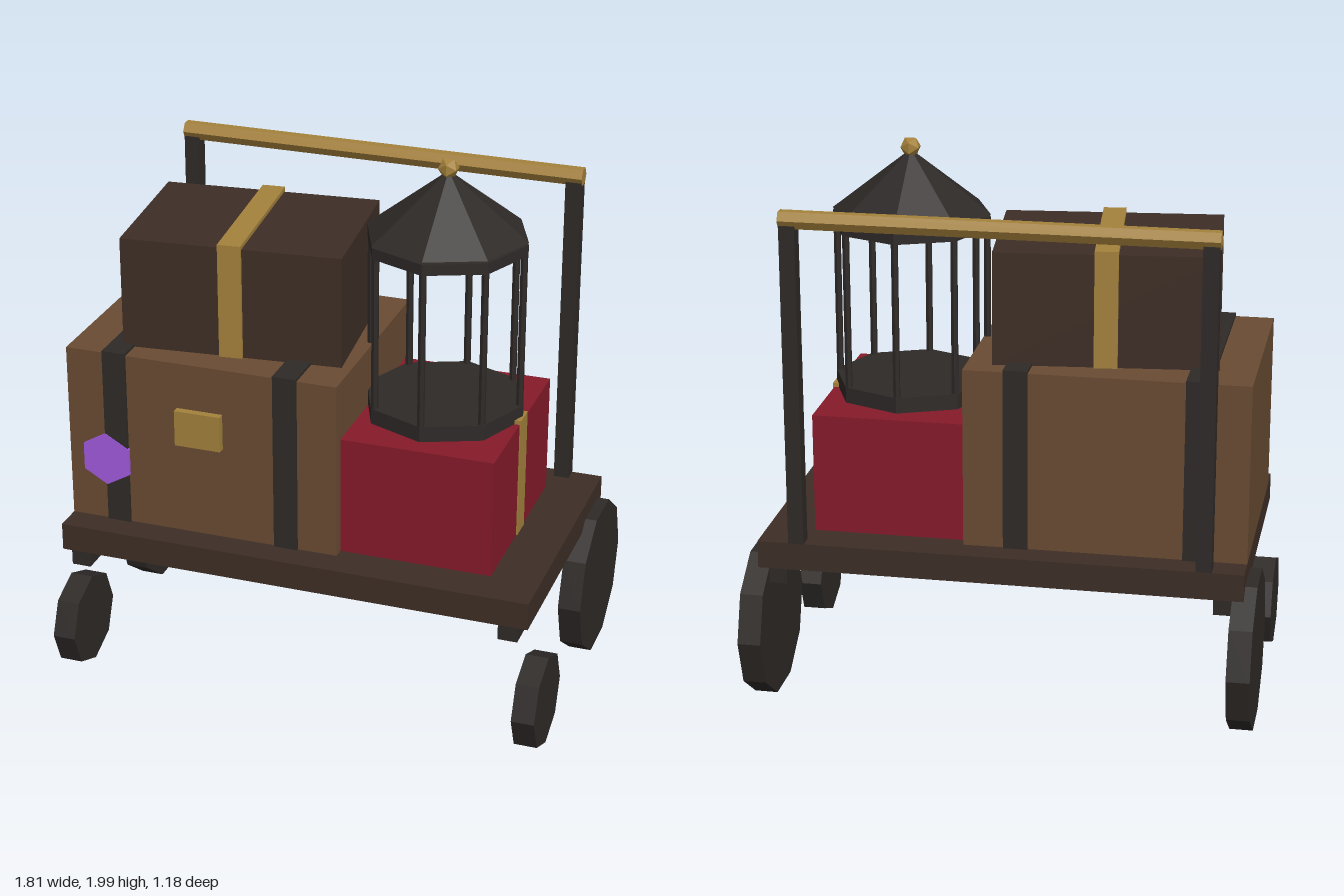
import * as THREE from 'three';

const mat = (color) => new THREE.MeshStandardMaterial({ color, flatShading: true });
const wood = mat(0x3d2e26), leather = mat(0x694b33), iron = mat(0x2e2a28);
const brass = mat(0xa5823c), red = mat(0x861a2a), purple = mat(0xa35adf);

function add(parent, name, geometry, material, x = 0, y = 0, z = 0) {
  const mesh = new THREE.Mesh(geometry, material);
  mesh.name = name;
  mesh.position.set(x, y, z);
  parent.add(mesh);
  return mesh;
}

// Box given by its minimum and maximum on each axis
function box(parent, name, material, [x0, x1], [y0, y1], [z0, z1]) {
  return add(parent, name, new THREE.BoxGeometry(x1 - x0, y1 - y0, z1 - z0), material,
    (x0 + x1) / 2, (y0 + y1) / 2, (z0 + z1) / 2);
}

// Faceted cylinder lying along x
const barX = (radius, length, sides) =>
  new THREE.CylinderGeometry(radius, radius, length, sides).rotateZ(Math.PI / 2);

function createCart() {
  const cart = new THREE.Group();
  cart.name = 'cart';
  box(cart, 'platform', wood, [-0.865, 0.865], [0.53, 0.63], [-0.445, 0.56]);
  for (const s of [-1, 1]) {
    add(cart, 'underRail', new THREE.BoxGeometry(0.07, 0.055, 1.005), iron, s * 0.795, 0.5025, 0.0575);
    add(cart, 'backWheel', barX(0.288, 0.083, 10), iron, s * 0.866, 0.293, -0.305);
    add(cart, 'frontWheel', barX(0.172, 0.083, 8), iron, s * 0.866, 0.175, 0.418);
    add(cart, 'handlePost', new THREE.BoxGeometry(0.056, 1.16, 0.056), iron, s * 0.724, 1.21, -0.418);
  }
  add(cart, 'handleBar', barX(0.034, 1.51, 6), brass, 0, 1.808, -0.418);
  return cart;
}

function createTrunk() {
  const trunk = new THREE.Group();
  trunk.name = 'trunk';
  box(trunk, 'trunkBody', leather, [-0.865, 0.14], [0.63, 1.28], [-0.345, 0.455]);
  for (const x of [-0.682, -0.047])
    box(trunk, 'trunkStrap', iron, [x - 0.043, x + 0.043], [0.631, 1.29], [-0.355, 0.465]);
  box(trunk, 'trunkClasp', brass, [-0.45, -0.28], [0.977, 1.11], [0.44, 0.482]);
  // Six-sided sticker on the front
  add(trunk, 'sticker', new THREE.CylinderGeometry(0.1, 0.1, 0.012, 6).rotateX(Math.PI / 2), purple,
    -0.722, 0.87, 0.461);
  return trunk;
}

// Upper case, set down slightly askew
function createUpperCase() {
  const upper = new THREE.Group();
  upper.name = 'upperCase';
  upper.position.set(-0.316, 1.28, 0.053);
  upper.rotation.y = 0.098;
  add(upper, 'upperCaseBody', new THREE.BoxGeometry(0.788, 0.404, 0.57), wood, 0, 0.202, 0);
  add(upper, 'upperCaseStrap', new THREE.BoxGeometry(0.083, 0.418, 0.594), brass, 0, 0.21, 0);
  return upper;
}

function createRedCase() {
  const group = new THREE.Group();
  group.name = 'redCase';
  box(group, 'redCaseBody', red, [0.14, 0.69], [0.63, 1.065], [-0.303, 0.415]);
  box(group, 'redCaseStrap', brass, [0.135, 0.695], [0.631, 1.08], [0.015, 0.1]);
  return group;
}

function createCage() {
  const cage = new THREE.Group();
  cage.name = 'birdCage';
  cage.position.set(0.402, 0, 0.056);
  add(cage, 'cageBase', new THREE.CylinderGeometry(0.288, 0.288, 0.057, 8), iron, 0, 1.0935, 0);
  add(cage, 'cageRing', new THREE.CylinderGeometry(0.288, 0.288, 0.04, 8), iron, 0, 1.702, 0);
  add(cage, 'cageRoof', new THREE.ConeGeometry(0.288, 0.225, 8), iron, 0, 1.8425, 0);
  for (let i = 0; i < 8; i++) {
    const a = (i * Math.PI) / 4;
    add(cage, 'cageBar', new THREE.CylinderGeometry(0.013, 0.013, 0.58, 6), iron,
      0.274 * Math.sin(a), 1.4, 0.274 * Math.cos(a));
  }
  add(cage, 'cageFinial', new THREE.IcosahedronGeometry(0.038, 0), brass, 0, 1.963, 0);
  return cage;
}

export function createModel() {
  const model = new THREE.Group();
  model.name = 'luggageCart';
  model.add(createCart(), createTrunk(), createUpperCase(), createRedCase(), createCage());
  return model;
}
